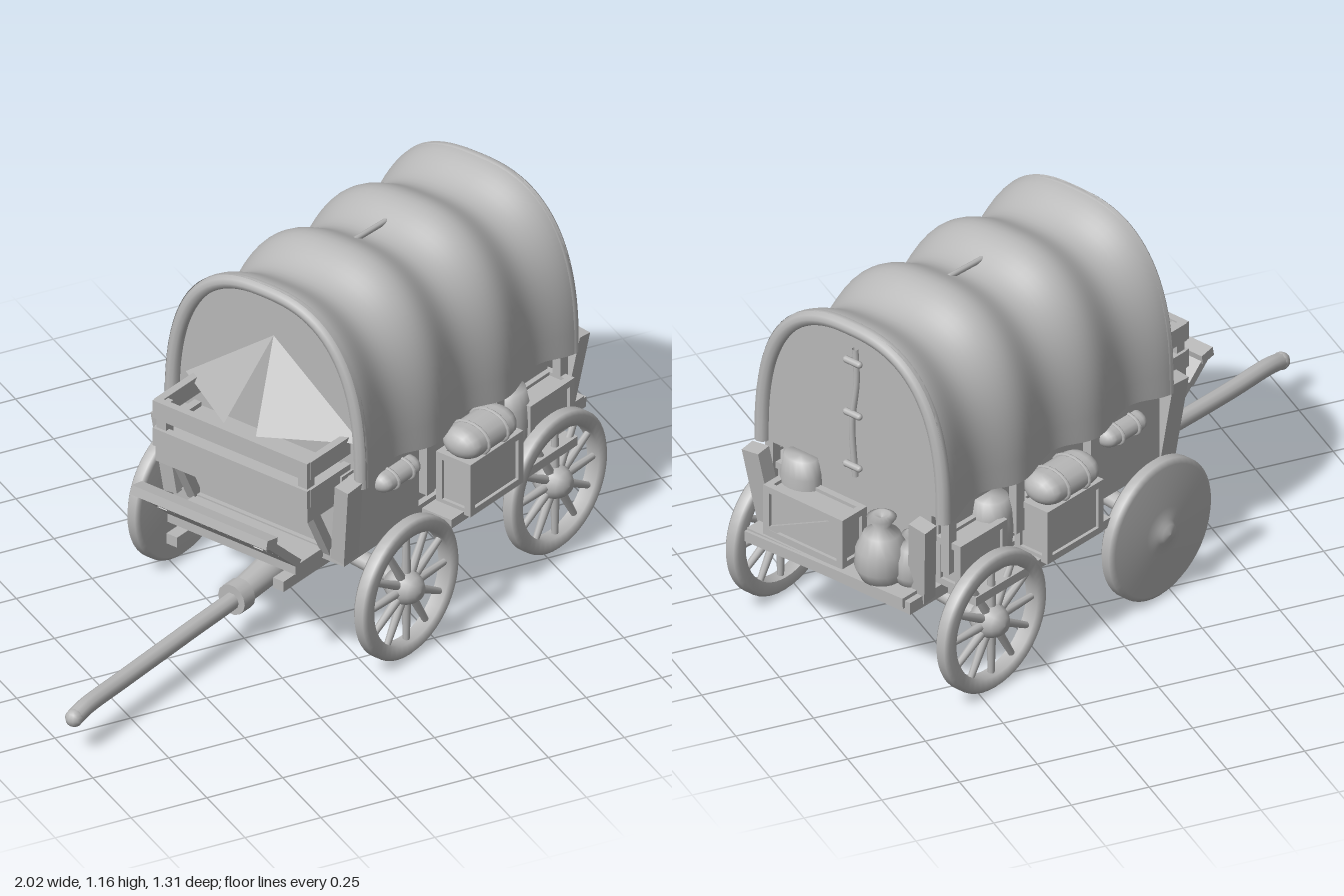
import * as THREE from 'three';

const grey = new THREE.MeshStandardMaterial({ color: 0xb8b8b8, side: THREE.DoubleSide });
grey.name = 'plain grey';

export function createModel() {
  const model = new THREE.Group();
  // wagon frame: -x is towards the tongue, z runs across
  const wagon = new THREE.Group();
  wagon.name = 'wagon';
  wagon.rotation.y = 0.436;
  wagon.position.set(0.047, 0, 0.1);
  model.add(wagon);

  const add = (name, geo, x = 0, y = 0, z = 0, rx = 0, ry = 0, rz = 0, parent = wagon) => {
    const m = new THREE.Mesh(geo, grey);
    m.name = name;
    m.position.set(x, y, z);
    m.rotation.set(rx, ry, rz);
    parent.add(m);
    return m;
  };
  const box = (name, w, h, d, ...rest) => add(name, new THREE.BoxGeometry(w, h, d), ...rest);
  const lathe = (pts, n = 20) => new THREE.LatheGeometry(pts.map(p => new THREE.Vector2(p[0], p[1])), n);
  const tube = (pts, r, n = 40) =>
    new THREE.TubeGeometry(new THREE.CatmullRomCurve3(pts.map(p => new THREE.Vector3(...p))), n, r, 10);

  // ---- canvas cover: arch section swept along four hoops ----
  const X0 = -0.22, X1 = 0.775, span = (X1 - X0) / 3;
  const arch = (x, a, inset = 0) => {
    const k = Math.sin(Math.PI * (x - X0) / span) ** 2;
    const c = Math.cos(a), s = Math.max(0, Math.sin(a));
    const w = 0.378 - 0.03 * k - inset;
    const base = 0.6 + 0.018 * k, top = 1.163 - 0.058 * k - 0.016 * (x - X0) - inset;
    const shift = 0.012 * (x - X0);
    return [x, base + (top - base) * s ** 0.77, shift + Math.sign(c) * w * Math.abs(c) ** 0.77];
  };
  const NU = 48, NA = 40, pos = [], idx = [];
  for (let i = 0; i <= NU; i++) {
    for (let j = 0; j <= NA; j++) {
      pos.push(...arch(X0 + (X1 - X0) * i / NU, Math.PI * j / NA));
      if (i < NU && j < NA) {
        const a = i * (NA + 1) + j, b = a + NA + 1;
        idx.push(a, a + 1, b, b, a + 1, b + 1);
      }
    }
  }
  const cover = new THREE.BufferGeometry();
  cover.setAttribute('position', new THREE.Float32BufferAttribute(pos, 3));
  cover.setIndex(idx);
  cover.computeVertexNormals();
  add('canvasCover', cover);

  const archPoints = (x, inset, n = 24) =>
    Array.from({ length: n + 1 }, (_, j) => arch(x, Math.PI * j / n, inset));
  add('frontHoop', tube(archPoints(X0 + 0.008, 0.022), 0.023, 60));
  add('rearHoop', tube(archPoints(X1 - 0.008, 0.022), 0.024, 60));

  // end curtains set inside the hoops
  for (const [name, x, at] of [['frontCurtain', X0 + 0.04, X0], ['rearCurtain', X1 - 0.02, X1]]) {
    const s = new THREE.Shape(archPoints(at, 0.02, 32).map(p => new THREE.Vector2(-p[2], p[1])));
    add(name, new THREE.ExtrudeGeometry(s, { depth: 0.01, bevelEnabled: false }), x, 0, 0, 0, Math.PI / 2);
  }
  // laced rear seam with toggles
  add('rearSeam', tube([[0.77, 0.62, 0], [0.775, 0.8, 0.008], [0.77, 0.95, -0.005], [0.77, 1.06, 0]], 0.01));
  for (const y of [0.66, 0.84, 1.02])
    add('rearToggle', new THREE.CapsuleGeometry(0.011, 0.05, 4, 8), 0.782, y, 0, Math.PI / 2);
  add('roofToggle', new THREE.CapsuleGeometry(0.009, 0.15, 4, 8), 0.27, 1.112, 0, 0, -0.05, Math.PI / 2);

  // draped flaps falling from the front hoop to the driver's box
  for (const s of [-1, 1]) {
    const flap = new THREE.BufferGeometry();
    flap.setAttribute('position', new THREE.Float32BufferAttribute(
      [-0.18, 0.97, 0, -0.34, 0.72, s * 0.06, -0.18, 0.72, s * 0.33], 3));
    flap.setIndex(s > 0 ? [0, 1, 2] : [0, 2, 1]);
    flap.computeVertexNormals();
    add('frontFlap', flap);
  }

  // ---- bed ----
  box('bedFloor', 1.14, 0.04, 0.64, 0.32, 0.345, 0);
  box('rearPlatform', 0.14, 0.035, 0.62, 0.83, 0.35, 0.01, 0.03);
  box('frontWall', 0.03, 0.26, 0.6, -0.22, 0.49, 0);
  box('rearGate', 0.03, 0.26, 0.58, 0.745, 0.49, 0);
  for (const s of [-1, 1]) {
    box('sideWall', 0.95, 0.26, 0.03, 0.265, 0.49, s * 0.285);
    box('sidePanel', 0.29, 0.24, 0.05, -0.06, 0.49, s * 0.31);
    box('sideShelf', 0.6, 0.03, 0.12, 0.42, 0.335, s * 0.37);
    box('frontPost', 0.07, 0.27, 0.05, -0.25, 0.49, s * 0.33, s * 0.12, 0, 0.08);
    box('rearPost', 0.05, 0.28, 0.065, 0.825, 0.48, s * 0.31, s * 0.13, 0, -0.13);
    // hoop legs reaching down the sides
    for (const x of [X0 + span, X0 + 2 * span, X1 - 0.03])
      box('hoopLeg', 0.035, 0.22, 0.03, x, 0.53, s * 0.345);
  }

  // ---- cargo ----
  const crate = (name, w, h, d, x, y, z) => {
    const g = new THREE.Group();
    g.name = name;
    g.position.set(x, y, z);
    wagon.add(g);
    const t = 0.022;
    box('crateCore', w - t, h - t, d - t, 0, 0, 0, 0, 0, 0, g);
    for (const a of [-1, 1]) for (const b of [-1, 1]) {
      box('crateRail', w, t, t, 0, a * (h - t) / 2, b * (d - t) / 2, 0, 0, 0, g);
      box('crateRail', t, t, d, a * (w - t) / 2, b * (h - t) / 2, 0, 0, 0, 0, g);
      box('crateUpright', t, h, t, a * (w - t) / 2, 0, b * (d - t) / 2, 0, 0, 0, g);
    }
    return g;
  };
  const sackGeo = lathe([[0, 0], [0.06, 0.005], [0.082, 0.05], [0.078, 0.11], [0.055, 0.16],
    [0.025, 0.185], [0.045, 0.215], [0.025, 0.225], [0, 0.21]], 18);
  const barrelGeo = lathe([[0, 0], [0.07, 0], [0.085, 0.06], [0.09, 0.12], [0.085, 0.18], [0.07, 0.24], [0, 0.24]]);
  const bundle = (x, y, z, len, r) => {
    add('bedroll', new THREE.CapsuleGeometry(r, len, 6, 14), x, y, z, 0, 0, Math.PI / 2).scale.z = 1.4;
    for (const a of [-0.3, 0.3])
      add('bedrollStrap', new THREE.TorusGeometry(r, 0.006, 6, 18), x + a * len, y, z, 0, Math.PI / 2).scale.x = 1.4;
  };
  for (const s of [-1, 1]) {
    crate('sideChest', 0.25, 0.18, 0.13, 0.305, 0.43, s * 0.39);
    bundle(0.3, 0.558, s * 0.395, 0.15, 0.05);
    add('sideBarrel', barrelGeo, 0.53, 0.355, s * 0.32).scale.set(0.75, 0.9, 0.75);
    crate('sideBox', 0.21, 0.16, 0.1, 0.645, 0.445, s * 0.345);
    bundle(-0.03, 0.55, s * 0.335, 0.12, 0.032);
  }
  const rearCrate = crate('rearCrate', 0.11, 0.17, 0.31, 0.83, 0.452, 0.105);
  box('crateBrace', 0.012, 0.022, 0.3, 0.048, 0, 0, 0.45, 0, 0, rearCrate);
  add('rearSack', sackGeo, 0.84, 0.365, -0.165);
  add('rearSack', sackGeo, 0.8, 0.365, -0.25).scale.set(0.7, 0.8, 0.7);
  add('rearKeg', barrelGeo, 0.785, 0.39, 0.2).scale.set(0.6, 0.95, 0.8);

  // ---- driver's box ----
  box('seat', 0.2, 0.1, 0.57, -0.28, 0.575, 0);
  for (const y of [0.61, 0.705]) {
    box('seatFrontRail', 0.025, 0.06, 0.58, -0.375, y, 0);
    for (const s of [-1, 1]) box('seatSideRail', 0.19, 0.06, 0.025, -0.28, y, s * 0.28);
  }
  for (const s of [-1, 1]) {
    box('seatPost', 0.035, 0.2, 0.035, -0.36, 0.63, s * 0.265);
    box('seatStrut', 0.03, 0.25, 0.035, -0.28, 0.44, s * 0.25, 0, 0, 0.45);
    box('dashBrace', 0.24, 0.03, 0.035, -0.38, 0.38, s * 0.18, 0, 0, -0.7);
    box('footBracket', 0.24, 0.035, 0.04, -0.29, 0.295, s * 0.2);
  }
  // sloping dashboard made of planks, with footboard below
  for (let i = 0; i < 2; i++)
    box('dashPlank', 0.105, 0.026, 0.5 - 0.01 * i, -0.505 + 0.075 * i, 0.49 - 0.07 * i, 0.02, 0, 0, -0.75);
  box('dashTopRail', 0.05, 0.03, 0.51, -0.535, 0.525, 0.02, 0, 0, -0.2);
  box('footboard', 0.14, 0.03, 0.48, -0.31, 0.345, 0);

  // ---- running gear ----
  for (const x of [-0.085, 0.643]) {
    add('axle', tube([[x, 0.23, -0.42], [x, 0.245, -0.28], [x, 0.27, 0], [x, 0.245, 0.28], [x, 0.23, 0.42]], 0.028));
    box('bolster', 0.08, 0.06, 0.5, x, 0.305, 0);
  }
  add('tongue', tube([[-1.145, 0.12, 0.015], [-1.09, 0.13, 0.012], [-0.9, 0.132, 0.005], [-0.6, 0.14, 0],
    [-0.3, 0.155, 0], [-0.06, 0.2, 0]], 0.027));
  add('tongueTip', new THREE.SphereGeometry(0.028, 12, 8), -1.145, 0.12, 0.015);
  add('tongueSleeve', new THREE.CylinderGeometry(0.04, 0.055, 0.32, 14), -0.2, 0.175, 0, 0, 0, Math.PI / 2 + 0.14);
  add('tongueCollar', new THREE.CylinderGeometry(0.05, 0.05, 0.05, 14), -0.355, 0.152, 0, 0, 0, Math.PI / 2);

  // ---- wheels ----
  const rimGeo = lathe([[0.18, -0.022], [0.215, -0.026], [0.227, -0.015], [0.227, 0.015],
    [0.215, 0.026], [0.18, 0.022], [0.18, -0.022]], 48);
  const hubGeo = lathe([[0, -0.06], [0.035, -0.06], [0.052, -0.03], [0.054, 0.01], [0.042, 0.035],
    [0.026, 0.052], [0, 0.056]], 18);
  const spokeGeo = new THREE.CylinderGeometry(0.01, 0.015, 0.16, 8);
  const discGeo = lathe([[0, -0.03], [0.215, -0.026], [0.228, -0.014], [0.228, 0.014], [0.212, 0.026],
    [0.08, 0.034], [0.04, 0.04], [0.03, 0.052], [0, 0.058]], 48);
  const wheel = (name, x, z, solid) => {
    const g = new THREE.Group();
    g.name = name;
    g.position.set(x, 0.228, z);
    g.rotation.x = Math.sign(z) * Math.PI / 2; // lathe axis points outwards
    wagon.add(g);
    if (solid) { add('disc', discGeo, 0, 0, 0, 0, 0, 0, g); return; }
    add('rim', rimGeo, 0, 0, 0, 0, 0, 0, g);
    add('hub', hubGeo, 0, 0, 0, 0, 0, 0, g);
    for (let i = 0; i < 12; i++) {
      const a = i * Math.PI / 6;
      add('spoke', spokeGeo, 0.115 * Math.cos(a), 0, -0.115 * Math.sin(a), 0, a, -Math.PI / 2, g);
    }
  };
  wheel('frontLeftWheel', -0.1, 0.435, false);
  wheel('rearLeftWheel', 0.637, 0.41, false);
  wheel('frontRightWheel', -0.072, -0.44, true);
  wheel('rearRightWheel', 0.636, -0.415, false);

  return model;
}
